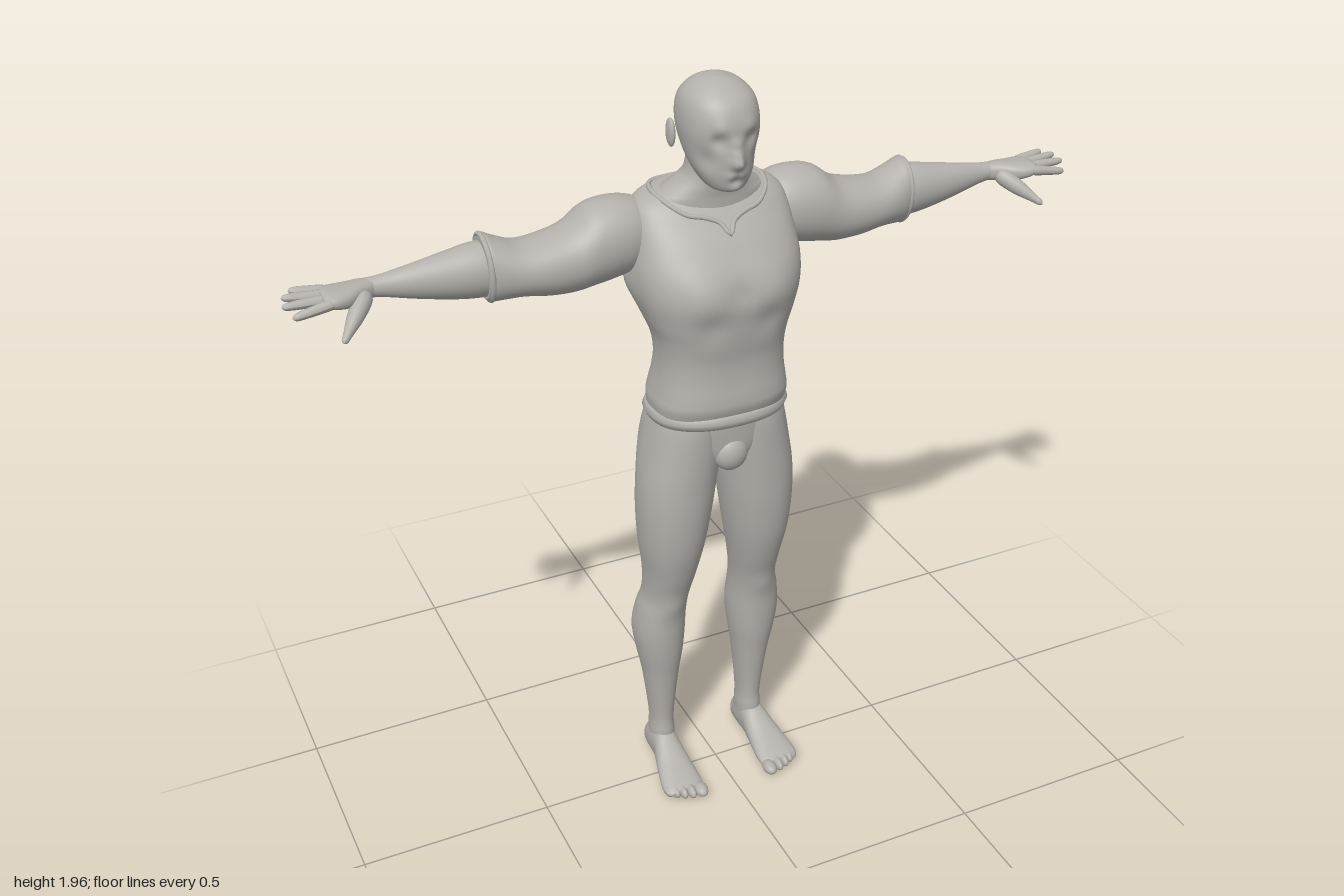
import * as THREE from 'three';

const clay = new THREE.MeshStandardMaterial({ color: 0xb4b1ac });
clay.name = 'warm grey';

// Catmull-Rom blend of neighbouring cross-sections
const blend = (a, b, c, d, t) => 0.5 * (2 * b + (c - a) * t + (2 * a - 5 * b + 4 * c - d) * t * t + (3 * b - a - 3 * c + d) * t ** 3);

// Loft along an axis. Section: [t, a0, a1, b0, b1], where a and b are the spans on the other two axes
function loft(axis, sections, n = 2, seg = 40, sub = 5) {
  const rows = [];
  const at = i => sections[Math.min(Math.max(i, 0), sections.length - 1)];
  for (let i = 0; i < sections.length - 1; i++)
    for (let k = 0; k < sub; k++)
      rows.push(at(i).map((v, c) => blend(at(i - 1)[c], v, at(i + 1)[c], at(i + 2)[c], k / sub)));
  rows.push(at(sections.length));
  const pos = [], index = [];
  const put = (t, a, b) => pos.push(...(axis === 'x' ? [t, a, b] : axis === 'y' ? [a, t, b] : [a, b, t]));
  const round = v => Math.sign(v) * Math.abs(v) ** (2 / n);
  for (const [t, a0, a1, b0, b1] of rows)
    for (let j = 0; j < seg; j++) {
      const w = j / seg * Math.PI * 2;
      put(t, (a0 + a1) / 2 + round(Math.cos(w)) * (a1 - a0) / 2, (b0 + b1) / 2 + round(Math.sin(w)) * (b1 - b0) / 2);
    }
  const tri = (a, b, c) => axis === 'y' ? index.push(a, c, b) : index.push(a, b, c);
  for (let i = 0; i < rows.length - 1; i++)
    for (let j = 0; j < seg; j++) {
      const p = i * seg + j, q = i * seg + (j + 1) % seg;
      tri(p, q, q + seg);
      tri(p, q + seg, p + seg);
    }
  // End caps
  const last = (rows.length - 1) * seg, mid = rows.length * seg;
  for (const r of [rows[0], rows[rows.length - 1]]) put(r[0], (r[1] + r[2]) / 2, (r[3] + r[4]) / 2);
  for (let j = 0; j < seg; j++) {
    tri(mid, (j + 1) % seg, j);
    tri(mid + 1, last + j, last + (j + 1) % seg);
  }
  const g = new THREE.BufferGeometry();
  g.setAttribute('position', new THREE.Float32BufferAttribute(pos, 3));
  g.setIndex(index);
  g.computeVertexNormals();
  return g;
}

const sym = list => list.map(([y, w, back, front]) => [y, -w, w, back, front]);

// Soft muscle and face relief: [x, y, z, radius, push x, push y, push z], mirrored when x is not 0
function sculpt(g, bumps) {
  const p = g.attributes.position, v = new THREE.Vector3(), c = new THREE.Vector3(), d = new THREE.Vector3();
  const all = bumps.flatMap(b => b[0] ? [b, [-b[0], b[1], b[2], b[3], -b[4], b[5], b[6]]] : [b]);
  for (let i = 0; i < p.count; i++) {
    v.fromBufferAttribute(p, i);
    d.set(0, 0, 0);
    for (const [x, y, z, r, dx, dy, dz] of all) {
      const f = Math.exp(-v.distanceToSquared(c.set(x, y, z)) / (r * r));
      d.x += dx * f; d.y += dy * f; d.z += dz * f;
    }
    v.add(d);
    p.setXYZ(i, v.x, v.y, v.z);
  }
  g.computeVertexNormals();
  return g;
}

function mirrored(g) {
  const m = g.clone().scale(-1, 1, 1), ix = m.index.array;
  for (let i = 0; i < ix.length; i += 3) [ix[i], ix[i + 1]] = [ix[i + 1], ix[i]];
  m.computeVertexNormals();
  return m;
}

// Tapered digit with a rounded tip
function digit(from, to, r0, r1) {
  const a = new THREE.Vector3(...from), dir = new THREE.Vector3(...to).sub(a), len = dir.length();
  const profile = [[r0 * 0.7, 0], [r0, len * 0.12], [r0 * 0.92, len * 0.45], [r1 * 1.08, len * 0.8], [r1 * 0.75, len * 0.95], [0.0001, len]];
  const g = new THREE.LatheGeometry(new THREE.SplineCurve(profile.map(p => new THREE.Vector2(...p))).getPoints(14), 12);
  g.applyQuaternion(new THREE.Quaternion().setFromUnitVectors(new THREE.Vector3(0, 1, 0), dir.normalize()));
  return g.translate(a.x, a.y, a.z);
}

const ringTube = (points, r) => new THREE.TubeGeometry(new THREE.CatmullRomCurve3(points, true), 80, r, 8, true);
const circle = (n, f) => Array.from({ length: n }, (_, i) => f(Math.cos(i / n * Math.PI * 2), Math.sin(i / n * Math.PI * 2)));
const ball = (x, y, z, rx, ry, rz) => new THREE.SphereGeometry(1, 20, 14).scale(rx, ry, rz).translate(x, y, z);

export function createModel() {
  const group = new THREE.Group();
  const add = (name, g) => {
    const m = new THREE.Mesh(g, clay);
    m.name = name;
    group.add(m);
    return m;
  };
  const pair = (name, g) => {
    add(name + 'Left', g);
    add(name + 'Right', mirrored(g));
  };

  // Head with brow, eye sockets, nose, lips and chin
  add('head', sculpt(loft('y', sym([
    [1.712, 0.03, 0.03, 0.09], [1.72, 0.045, 0, 0.1], [1.74, 0.06, -0.03, 0.107], [1.77, 0.074, -0.055, 0.11],
    [1.81, 0.084, -0.085, 0.112], [1.85, 0.09, -0.1, 0.115], [1.89, 0.088, -0.1, 0.108], [1.92, 0.077, -0.085, 0.09],
    [1.945, 0.05, -0.055, 0.055], [1.957, 0.015, -0.02, 0.025]]), 2.2, 72, 8), [
    [0, 1.785, 0.113, 0.016, 0, 0, 0.026], [0, 1.808, 0.113, 0.014, 0, 0, 0.014], [0, 1.83, 0.113, 0.012, 0, 0, 0.008],
    [0.036, 1.838, 0.1, 0.019, 0, 0, -0.013], [0.036, 1.862, 0.105, 0.018, 0, 0, 0.005],
    [0.012, 1.755, 0.108, 0.012, 0, 0, 0.007], [0, 1.742, 0.108, 0.012, 0, 0, -0.005], [0, 1.722, 0.1, 0.018, 0, 0, 0.007],
    [0.06, 1.79, 0.08, 0.025, -0.004, 0, -0.005]]));
  pair('eye', ball(0.035, 1.838, 0.087, 0.012, 0.008, 0.01));
  pair('ear', ball(0.091, 1.82, -0.008, 0.009, 0.034, 0.02).rotateX(-0.02));

  // Neck spreading into the trapezius
  add('neck', loft('y', sym([[1.62, 0.15, -0.13, 0.04], [1.67, 0.14, -0.122, 0.04], [1.69, 0.118, -0.112, 0.042],
    [1.715, 0.086, -0.093, 0.047], [1.74, 0.07, -0.075, 0.05], [1.78, 0.065, -0.065, 0.048], [1.82, 0.06, -0.06, 0.04]])));

  // Fitted shirt body
  const shirt = add('shirt', sculpt(loft('y', sym([
    [1.12, 0.165, -0.12, 0.115], [1.17, 0.172, -0.128, 0.135], [1.2, 0.168, -0.125, 0.137], [1.25, 0.16, -0.108, 0.132],
    [1.3, 0.158, -0.098, 0.132], [1.35, 0.165, -0.108, 0.14], [1.4, 0.183, -0.13, 0.147], [1.46, 0.2, -0.148, 0.15],
    [1.52, 0.205, -0.155, 0.135], [1.58, 0.2, -0.155, 0.1], [1.63, 0.195, -0.15, 0.06], [1.66, 0.183, -0.142, 0.035],
    [1.682, 0.15, -0.13, 0.012], [1.69, 0.1, -0.12, 0]]), 2.5, 72), [
    [0.09, 1.48, 0.14, 0.06, 0, 0, 0.01], [0, 1.48, 0.15, 0.025, 0, 0, -0.006], [0.07, 1.4, 0.15, 0.035, 0, 0, -0.007],
    [0, 1.52, -0.155, 0.04, 0, 0, 0.014], [0, 1.43, -0.14, 0.04, 0, 0, 0.014], [0, 1.34, -0.11, 0.035, 0, 0, 0.01],
    [0.1, 1.53, -0.15, 0.05, 0, 0, -0.008], [0.2, 1.48, -0.06, 0.06, 0.012, 0, -0.006]]));

  // Collar edge laid on the shirt, with a point at the throat
  shirt.updateMatrixWorld(true);
  const ray = new THREE.Raycaster(), down = new THREE.Vector3(0, -1, 0);
  const half = [[0.018, 0.062], [0.05, 0.05], [0.09, 0.038], [0.125, 0.005], [0.138, -0.05], [0.118, -0.105], [0.06, -0.128]];
  const loop = [[0, 0.082], ...half, [0, -0.132], ...half.map(([x, z]) => [-x, z]).reverse()];
  const collar = [];
  for (const [x, z] of loop) {
    ray.set(new THREE.Vector3(x, 3, z), down);
    const hit = ray.intersectObject(shirt)[0];
    if (hit) collar.push(hit.point);
  }
  add('collar', ringTube(collar, 0.006));

  // Rolled hem
  add('hem', ringTube(circle(24, (c, s) => new THREE.Vector3(0.157 * Math.sign(c) * Math.abs(c) ** 0.85,
    1.136 + s * 0.006, -0.004 + 0.121 * Math.sign(s) * Math.abs(s) ** 0.85)), 0.022));

  // Pelvis, filling between the legs
  add('pelvis', loft('y', sym([[0.965, 0.02, -0.05, 0.04], [0.985, 0.06, -0.085, 0.075], [1.03, 0.12, -0.105, 0.1],
    [1.09, 0.16, -0.112, 0.105], [1.14, 0.16, -0.11, 0.105]]), 2.3));
  add('groin', ball(0, 1.03, 0.085, 0.045, 0.048, 0.034));

  // Legs with thigh, knee and calf
  pair('leg', sculpt(loft('y', [
    [0.05, 0.1, 0.164, -0.122, -0.03], [0.1, 0.099, 0.164, -0.118, -0.024], [0.16, 0.1, 0.163, -0.118, -0.026],
    [0.3, 0.087, 0.18, -0.13, -0.008], [0.38, 0.076, 0.195, -0.142, 0.006], [0.45, 0.07, 0.204, -0.148, 0.014],
    [0.52, 0.07, 0.197, -0.132, 0.02], [0.58, 0.067, 0.184, -0.115, 0.03], [0.66, 0.054, 0.187, -0.11, 0.058],
    [0.75, 0.037, 0.2, -0.113, 0.083], [0.85, 0.021, 0.206, -0.115, 0.097], [0.94, 0.008, 0.203, -0.117, 0.102],
    [1.03, -0.004, 0.19, -0.133, 0.105], [1.1, -0.004, 0.176, -0.128, 0.105], [1.145, 0, 0.164, -0.115, 0.1]], 2.15), [
    [0.128, 0.56, 0.025, 0.035, 0, 0, 0.006], [0.128, 0.57, -0.12, 0.03, 0, 0, 0.006]]));

  // Bare feet and toes
  pair('foot', loft('z', [
    [-0.133, 0.118, 0.15, 0.015, 0.05], [-0.122, 0.105, 0.162, 0.003, 0.085], [-0.09, 0.1, 0.167, 0, 0.112],
    [-0.04, 0.099, 0.17, 0.002, 0.108], [0, 0.095, 0.18, 0.006, 0.085], [0.04, 0.091, 0.19, 0.004, 0.063],
    [0.08, 0.088, 0.198, 0, 0.046], [0.108, 0.09, 0.197, 0.001, 0.035], [0.122, 0.1, 0.185, 0.005, 0.028]], 2.2, 32));
  [[0.104, 0.156, 0.018], [0.131, 0.15, 0.012], [0.152, 0.142, 0.011], [0.17, 0.131, 0.0105], [0.187, 0.118, 0.01]]
    .forEach(([x, tip, r], i) => pair('toe' + (i + 1), ball(x, 0.017, tip - 0.028, r, 0.016, 0.028)));

  // Sleeves with rounded shoulders and flared cuffs
  pair('sleeve', loft('x', [
    [0.14, 1.53, 1.655, -0.14, -0.01], [0.19, 1.5, 1.675, -0.155, 0.012], [0.24, 1.488, 1.68, -0.16, 0.02],
    [0.29, 1.48, 1.67, -0.16, 0.021], [0.34, 1.474, 1.636, -0.155, 0.018], [0.4, 1.477, 1.62, -0.15, 0.015],
    [0.46, 1.486, 1.615, -0.145, 0.008], [0.51, 1.484, 1.633, -0.142, -0.002], [0.535, 1.482, 1.645, -0.14, -0.01],
    [0.545, 1.49, 1.638, -0.135, -0.016]], 2.1));
  pair('cuff', ringTube(circle(16, (c, s) => new THREE.Vector3(0.537 + 0.004 * c, 1.563 + 0.079 * c, -0.075 + 0.062 * s)), 0.006));

  // Forearms
  pair('forearm', loft('x', [
    [0.5, 1.495, 1.625, -0.13, -0.02], [0.56, 1.495, 1.625, -0.135, -0.02], [0.62, 1.503, 1.616, -0.126, -0.028],
    [0.7, 1.52, 1.602, -0.112, -0.042], [0.77, 1.537, 1.59, -0.103, -0.055], [0.81, 1.543, 1.587, -0.102, -0.057],
    [0.83, 1.546, 1.585, -0.1, -0.05]]));

  // Hands
  pair('palm', loft('x', [
    [0.79, 1.543, 1.585, -0.1, -0.06], [0.82, 1.541, 1.588, -0.104, -0.045], [0.85, 1.54, 1.588, -0.107, -0.024],
    [0.88, 1.546, 1.588, -0.107, -0.012], [0.9, 1.552, 1.587, -0.105, -0.012], [0.912, 1.56, 1.582, -0.098, -0.02]], 2.4, 32));
  [[-0.094, 0.972, 1.582, -0.1], [-0.071, 0.994, 1.58, -0.073], [-0.047, 1, 1.572, -0.044], [-0.023, 0.985, 1.556, -0.014]]
    .forEach(([z, x, y, tip], i) => pair('finger' + (i + 1), digit([0.89, 1.57, z], [x, y, tip], 0.0125, 0.009)));
  pair('thumb', digit([0.815, 1.562, -0.055], [0.894, 1.5, 0.036], 0.021, 0.01));

  return group;
}
